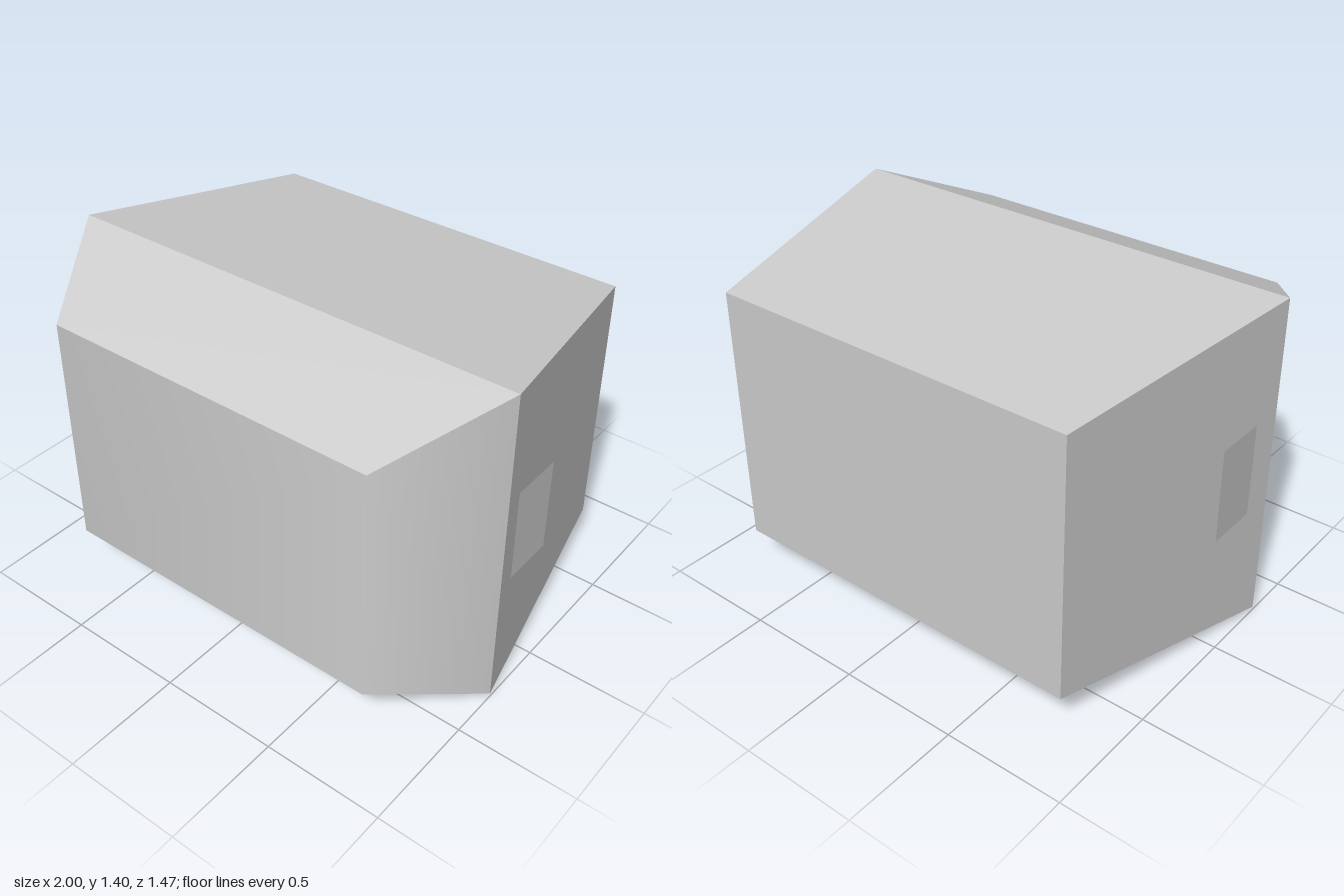
import * as THREE from 'three';

const grey = () => new THREE.MeshStandardMaterial({ color: 0xcccccc });

// Rectangular cross-section, counter-clockwise seen from the front
const section = (halfWidth, y0, y1, z) => [
  [-halfWidth, y0, z], [halfWidth, y0, z], [halfWidth, y1, z], [-halfWidth, y1, z],
];

// Quad joining side i of a front section to the section behind it
const wall = (a, b, i) => {
  const j = (i + 1) % 4;
  return [a[j], a[i], b[i], b[j]];
};

// Mesh from quads; smooth shares normals at common corners
function quadMesh(name, quads, smooth = false) {
  const corners = [];
  const index = [];
  for (const quad of quads) {
    const ids = quad.map((p) => {
      const found = smooth ? corners.indexOf(p) : -1;
      return found >= 0 ? found : corners.push(p) - 1;
    });
    index.push(ids[0], ids[1], ids[2], ids[0], ids[2], ids[3]);
  }
  const geometry = new THREE.BufferGeometry();
  geometry.setAttribute('position', new THREE.Float32BufferAttribute(corners.flat(), 3));
  geometry.setIndex(index);
  geometry.computeVertexNormals();
  const mesh = new THREE.Mesh(geometry, grey());
  mesh.name = name;
  return mesh;
}

export function createModel() {
  const model = new THREE.Group();
  model.name = 'taperedCasing';

  const front = section(0.725, 0.205, 1.21, 0.735);
  const rim = section(1, 0.015, 1.4, 0.29);
  const back = section(0.8, 0.155, 1.26, -0.735);
  const [BOTTOM, RIGHT, TOP, LEFT] = [0, 1, 2, 3];

  // Front panel blends smoothly into its angled sides
  model.add(quadMesh('frontPanel', [front, wall(front, rim, RIGHT), wall(front, rim, LEFT)], true));

  // Sloping strips above and below the front panel
  model.add(quadMesh('frontBevels', [wall(front, rim, TOP), wall(front, rim, BOTTOM)]));

  // Tapered rear body with a flat back
  const shell = [BOTTOM, RIGHT, TOP, LEFT].map((i) => wall(rim, back, i));
  shell.push([back[1], back[0], back[3], back[2]]);
  model.add(quadMesh('rearBody', shell));

  // Upright side plates, their front ends sunk into the body
  for (const side of [-1, 1]) {
    const plate = new THREE.Mesh(new THREE.PlaneGeometry(0.31, 0.395), grey());
    plate.material.side = THREE.DoubleSide;
    plate.name = side > 0 ? 'leftPlate' : 'rightPlate';
    plate.rotation.y = side * Math.PI / 2;
    plate.position.set(side * 0.98, 0.7225, 0.115);
    model.add(plate);
  }

  // Base plate lying parallel to the sloping underside
  const basePlate = new THREE.Mesh(new THREE.PlaneGeometry(0.32, 0.4), grey());
  basePlate.material.side = THREE.DoubleSide;
  basePlate.name = 'basePlate';
  basePlate.rotation.x = Math.PI / 2 + Math.atan2(0.14, 1.025);
  basePlate.position.set(0, 0.028, 0.09);
  model.add(basePlate);

  return model;
}
